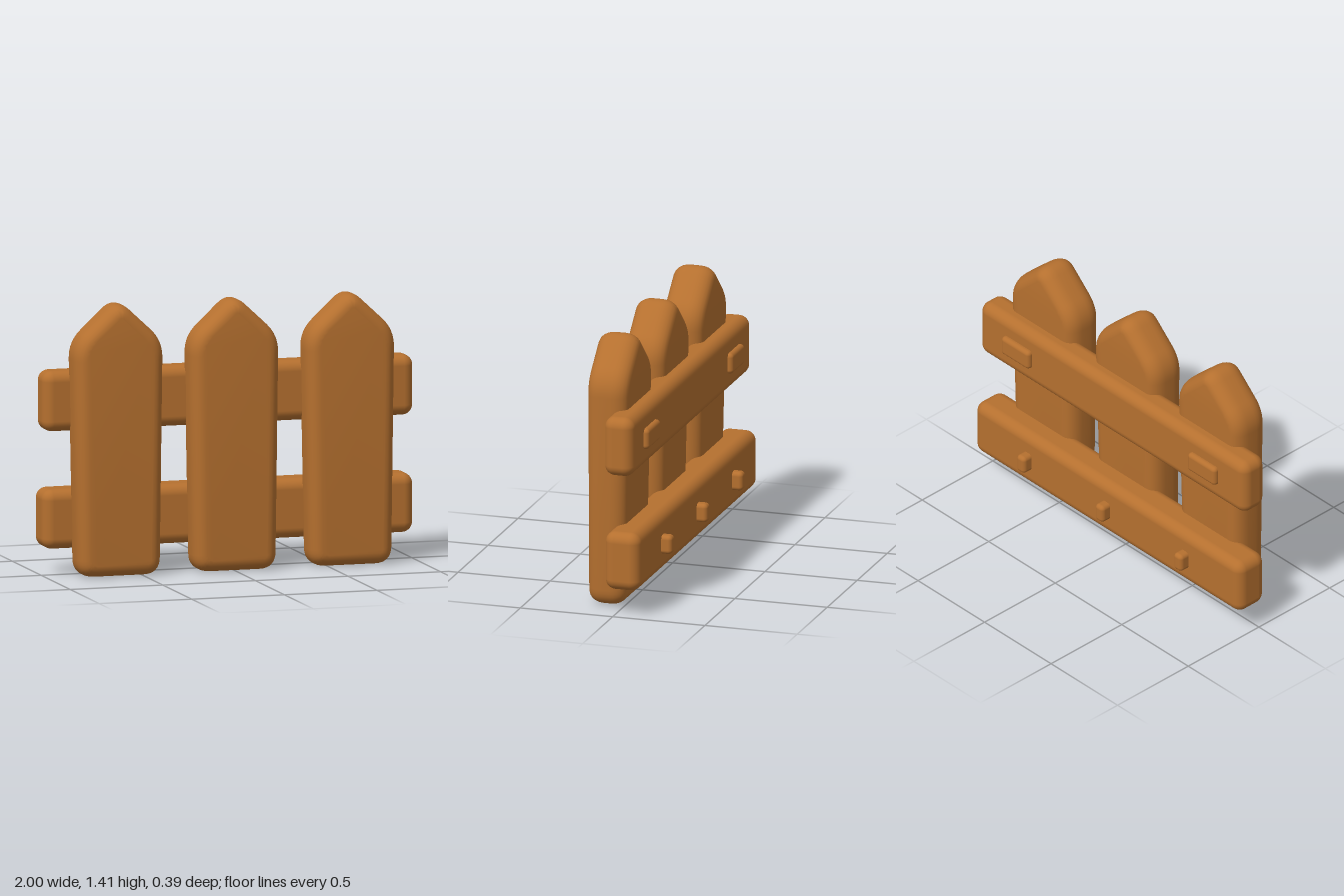
import * as THREE from 'three';
import { toCreasedNormals } from 'three/addons/utils/BufferGeometryUtils.js';
import { RoundedBoxGeometry } from 'three/addons/geometries/RoundedBoxGeometry.js';

const wood = new THREE.MeshStandardMaterial({ color: 0xb5702f });
wood.name = 'brown wood';

// Closed outline with softened corners; each corner is [x, y, softening length]
function softShape(corners) {
  const shape = new THREE.Shape();
  const n = corners.length;
  corners.forEach(([x, y, d], i) => {
    const p = new THREE.Vector2(x, y);
    const toward = ([qx, qy]) => new THREE.Vector2(qx, qy).sub(p).setLength(d).add(p);
    const a = toward(corners[(i + n - 1) % n]);
    const b = toward(corners[(i + 1) % n]);
    if (i === 0) shape.moveTo(a.x, a.y);
    else shape.lineTo(a.x, a.y);
    shape.quadraticCurveTo(x, y, b.x, b.y);
  });
  shape.closePath();
  return shape;
}

// Pointed board, slightly wider and thicker towards the top
function picketGeometry() {
  const shape = softShape([
    [-0.223, 0.008, 0.09], [0.223, 0.008, 0.09],
    [0.241, 1.225, 0.09], [0, 1.45, 0.085], [-0.241, 1.225, 0.09],
  ]);
  const depth = 0.2, bevel = 0.075;
  const geometry = new THREE.ExtrudeGeometry(shape, {
    depth: depth - 2 * bevel, curveSegments: 8, bevelEnabled: true,
    bevelThickness: bevel, bevelSize: 0.062, bevelOffset: -0.062, bevelSegments: 6,
  });
  geometry.translate(0, 0, bevel);
  const pos = geometry.attributes.position;
  for (let i = 0; i < pos.count; i++) {
    const back = -0.005 - 0.022 * Math.min(1, pos.getY(i) / 1.2);
    pos.setZ(i, THREE.MathUtils.lerp(back, 0.193, pos.getZ(i) / depth));
  }
  return toCreasedNormals(geometry, 0.9);
}

export function createModel() {
  const group = new THREE.Group();
  group.name = 'picketFence';

  const add = (name, geometry, x, y, z) => {
    const mesh = new THREE.Mesh(geometry, wood);
    mesh.name = name;
    mesh.position.set(x, y, z);
    group.add(mesh);
  };
  // Rounded block given by its centre, size and back and front z
  const block = (name, x, y, w, h, back, front, r) =>
    add(name, new RoundedBoxGeometry(w, h, front - back, 5, r), x, y, (back + front) / 2);

  // Pickets
  const picket = picketGeometry();
  for (const x of [-0.625, 0, 0.625]) add('picket', picket, x, 0, 0);

  // Cross rails
  block('upperRail', 0, 0.915, 2, 0.315, -0.105, 0.055, 0.055);
  block('lowerRail', 0, 0.3, 2, 0.31, -0.14, 0.052, 0.055);

  // Flat cleats on the back of the upper rail
  for (const x of [-0.7, 0.7]) block('cleat', x, 0.915, 0.21, 0.11, -0.132, -0.06, 0.022);

  // Pegs on the back of the lower rail
  for (const x of [-0.59, 0, 0.59]) block('peg', x, 0.297, 0.062, 0.1, -0.196, -0.1, 0.022);

  return group;
}
